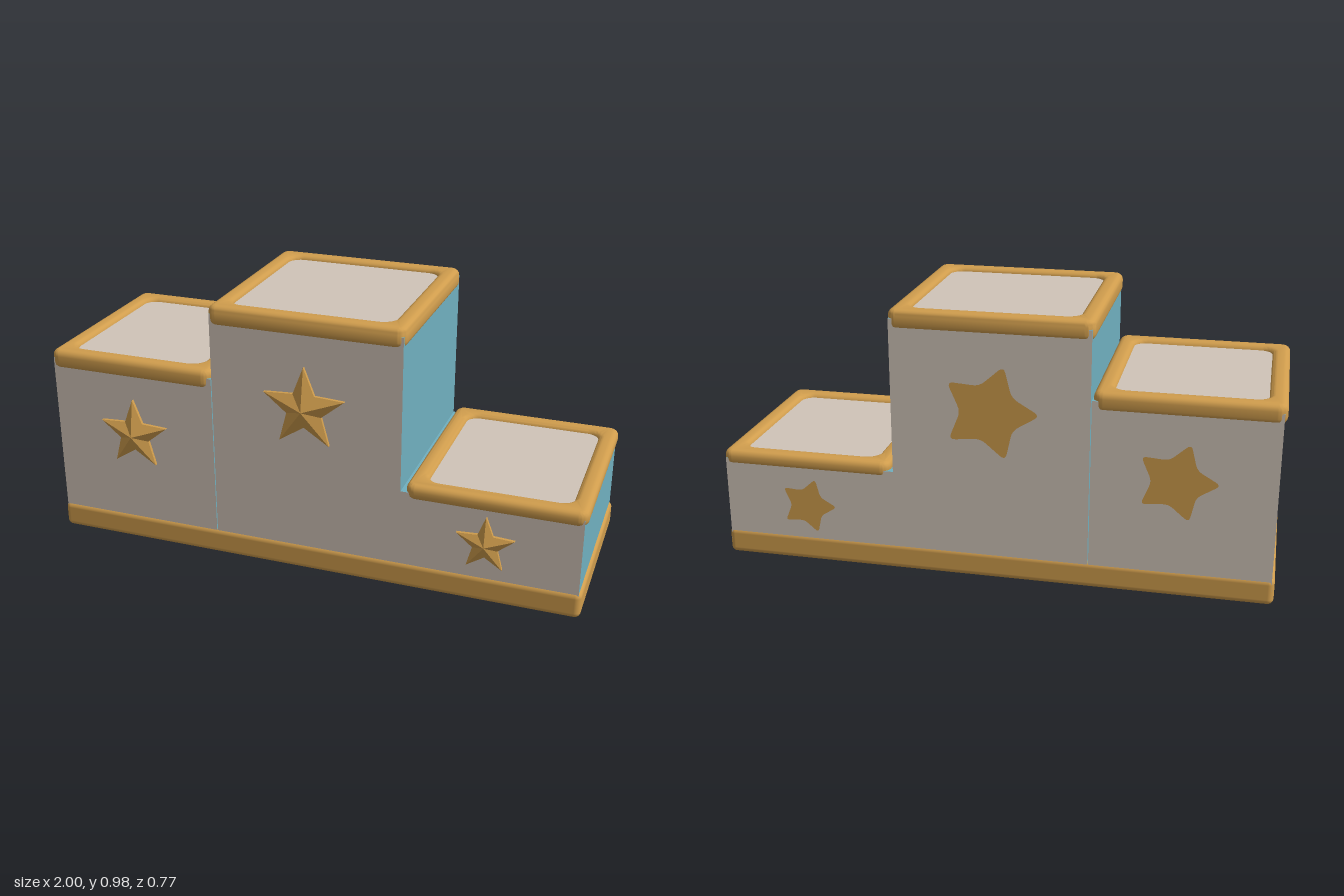
import * as THREE from 'three';
import { toCreasedNormals } from 'three/addons/utils/BufferGeometryUtils.js';
import { RoundedBoxGeometry } from 'three/addons/geometries/RoundedBoxGeometry.js';

const BACK = -0.382, FRONT = 0.35;
const MID_Z = (BACK + FRONT) / 2, DEPTH = FRONT - BACK;

function roundedRect(path, x0, y0, x1, y1, r) {
  path.moveTo(x0 + r, y0);
  path.lineTo(x1 - r, y0);
  path.absarc(x1 - r, y0 + r, r, -Math.PI / 2, 0, false);
  path.lineTo(x1, y1 - r);
  path.absarc(x1 - r, y1 - r, r, 0, Math.PI / 2, false);
  path.lineTo(x0 + r, y1);
  path.absarc(x0 + r, y1 - r, r, Math.PI / 2, Math.PI, false);
  path.lineTo(x0, y0 + r);
  path.absarc(x0 + r, y0 + r, r, Math.PI, Math.PI * 1.5, false);
  return path;
}

// Rounded gold frame lying flat, with its underside at y = 0
function frameGeometry(x0, x1, height) {
  const bevel = 0.022;
  const shape = roundedRect(new THREE.Shape(), x0, -FRONT, x1, -BACK, 0.035);
  shape.holes.push(roundedRect(new THREE.Path(), x0 + 0.065, -0.282, x1 - 0.065, 0.314, 0.045));
  const geo = new THREE.ExtrudeGeometry(shape, {
    depth: height - 2 * bevel, bevelEnabled: true, bevelThickness: bevel,
    bevelSize: bevel, bevelOffset: -bevel, bevelSegments: 4, curveSegments: 5,
  });
  geo.translate(0, 0, bevel);
  geo.rotateX(-Math.PI / 2);
  return toCreasedNormals(geo, 0.7);
}

function starPoints(radius, inner, tilt = 0) {
  return Array.from({ length: 10 }, (_, i) => {
    const a = Math.PI / 2 + tilt + i * Math.PI / 5, r = i % 2 ? radius * inner : radius;
    return new THREE.Vector2(Math.cos(a) * r, Math.sin(a) * r);
  });
}

// Faceted star: short side walls rising to a central peak
function raisedStar(radius, peak) {
  const pts = starPoints(radius, 0.43), rim = 0.012, pos = [];
  pts.forEach((p, i) => {
    const q = pts[(i + 1) % 10];
    pos.push(p.x, p.y, rim, q.x, q.y, rim, 0, 0, peak);
    pos.push(p.x, p.y, 0, q.x, q.y, 0, q.x, q.y, rim);
    pos.push(p.x, p.y, 0, q.x, q.y, rim, p.x, p.y, rim);
  });
  const geo = new THREE.BufferGeometry();
  geo.setAttribute('position', new THREE.Float32BufferAttribute(pos, 3));
  geo.computeVertexNormals();
  return geo;
}

// Soft flat star with blunted points
function flatStar(radius) {
  const pts = starPoints(radius, 0.56, -0.3), shape = new THREE.Shape();
  pts.forEach((p, i) => {
    const before = pts[(i + 9) % 10].clone().lerp(p, 0.78);
    const after = p.clone().lerp(pts[(i + 1) % 10], 0.22);
    if (i === 0) shape.moveTo(before.x, before.y);
    else shape.lineTo(before.x, before.y);
    shape.quadraticCurveTo(p.x, p.y, after.x, after.y);
  });
  return new THREE.ShapeGeometry(shape, 4);
}

export function createModel() {
  const model = new THREE.Group();
  const mat = (name, color) => {
    const m = new THREE.MeshStandardMaterial({ color });
    m.name = name;
    return m;
  };
  const gold = mat('gold trim', 0xd09d4d);
  const grey = mat('warm grey', 0xd0c4b8);
  const blue = mat('blue side', 0x70b0c0);

  const add = (name, geo, material, x, y, z) => {
    const mesh = new THREE.Mesh(geo, material);
    mesh.name = name;
    mesh.position.set(x, y, z);
    model.add(mesh);
    return mesh;
  };

  // Gold plinth under all three steps
  add('base', new RoundedBoxGeometry(2, 0.1, DEPTH, 4, 0.022), gold, 0, 0.05, MID_Z);

  const steps = [
    { name: 'second', body: [-0.99, -0.355], trim: [-1, -0.358], top: 0.73, h: 0.07,
      star: [-0.67, 0.44, 0.138, 0.04], back: [-0.65, 0.43, 0.15] },
    { name: 'first', body: [-0.352, 0.352], trim: [-0.36, 0.358], top: 0.975, h: 0.072,
      star: [0, 0.64, 0.157, 0.042], back: [0, 0.63, 0.18] },
    { name: 'third', body: [0.352, 0.99], trim: [0.368, 1], top: 0.41, h: 0.057,
      star: [0.66, 0.23, 0.108, 0.033], back: [0.68, 0.22, 0.11] },
  ];
  const bodyMaterials = [blue, blue, blue, grey, grey, grey];

  for (const s of steps) {
    // Block with blue ends and grey front and back
    const [b0, b1] = s.body, y0 = 0.05, y1 = s.top - 0.03;
    add(s.name + 'Block', new THREE.BoxGeometry(b1 - b0, y1 - y0, 0.722), bodyMaterials,
      (b0 + b1) / 2, (y0 + y1) / 2, -0.0175);

    // Top frame and the slightly sunken standing surface
    const [t0, t1] = s.trim;
    add(s.name + 'Frame', frameGeometry(t0, t1, s.h), gold, 0, s.top - s.h, 0);
    add(s.name + 'Platform', new THREE.BoxGeometry(t1 - t0 - 0.1, 0.03, 0.63), grey,
      (t0 + t1) / 2, s.top - 0.03, MID_Z);

    // Raised star in front, painted star behind
    const [sx, sy, r, peak] = s.star;
    add(s.name + 'FrontStar', raisedStar(r, peak), gold, sx, sy, 0.343);
    const [bx, by, br] = s.back;
    add(s.name + 'BackStar', flatStar(br), gold, bx, by, -0.3815).rotation.y = Math.PI;
  }
  return model;
}
